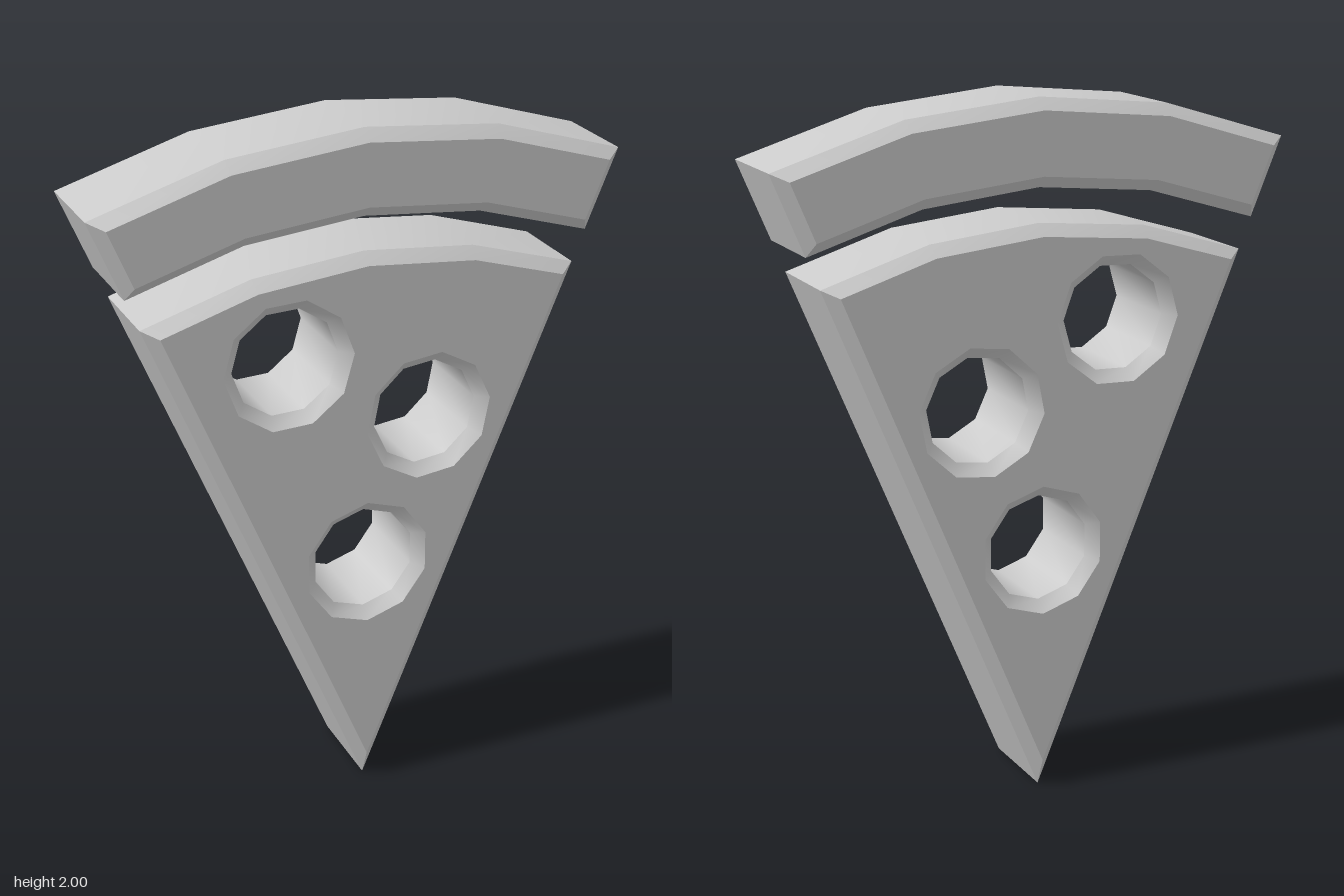
import * as THREE from 'three';
import { toCreasedNormals } from 'three/addons/utils/BufferGeometryUtils.js';

const HALF_ANGLE = Math.PI / 8;
const HALF_DEPTH = 0.165;
const BEVEL = 0.033;

// Points on a circular arc around (cx, cy)
function arc(radius, from, to, segments, cx = 0, cy = 0) {
  return Array.from({ length: segments + 1 }, (_, i) => {
    const a = from + ((to - from) * i) / segments;
    return new THREE.Vector2(cx + radius * Math.cos(a), cy + radius * Math.sin(a));
  });
}

// Shift every edge of a closed loop to its left by d, with full mitred corners
function inset(loop, d) {
  const n = loop.length;
  const normal = (a, b) => new THREE.Vector2(a.y - b.y, b.x - a.x).normalize();
  return loop.map((p, i) => {
    const n1 = normal(loop[(i + n - 1) % n], p);
    const n2 = normal(p, loop[(i + 1) % n]);
    return n1.clone().add(n2).multiplyScalar(d / (1 + n1.dot(n2))).add(p);
  });
}

// Chamfered plate: counter-clockwise outline, clockwise holes
function chamferedPlate(name, outline, holes, material) {
  const loops = [outline, ...holes];
  const insets = loops.map((loop) => inset(loop, BEVEL));
  const wall = HALF_DEPTH - BEVEL;
  const levels = [[insets, -HALF_DEPTH], [loops, -wall], [loops, wall], [insets, HALF_DEPTH]];
  const positions = [];
  const index = [];
  for (const [rings, z] of levels) {
    for (const ring of rings) for (const p of ring) positions.push(p.x, p.y, z);
  }
  const count = positions.length / 12;

  // Front and back faces
  for (const [a, b, c] of THREE.ShapeUtils.triangulateShape(insets[0], insets.slice(1))) {
    index.push(c, b, a, a + 3 * count, b + 3 * count, c + 3 * count);
  }
  // Chamfers and walls
  let start = 0;
  for (const loop of loops) {
    for (let level = 0; level < 3; level++) {
      const base = level * count + start;
      for (let i = 0; i < loop.length; i++) {
        const a = base + i;
        const b = base + ((i + 1) % loop.length);
        index.push(a, b, b + count, a, b + count, a + count);
      }
    }
    start += loop.length;
  }

  const geometry = new THREE.BufferGeometry();
  geometry.setAttribute('position', new THREE.Float32BufferAttribute(positions, 3));
  geometry.setIndex(index);
  const mesh = new THREE.Mesh(toCreasedNormals(geometry, 0.67), material);
  mesh.name = name;
  return mesh;
}

export function createModel() {
  const group = new THREE.Group();
  group.name = 'pizzaSlice';
  const material = new THREE.MeshStandardMaterial({ color: 0xcccccc });
  const right = Math.PI / 2 - HALF_ANGLE;
  const left = Math.PI / 2 + HALF_ANGLE;

  // Wedge with three ten-sided topping holes: x, y, rotation
  const holes = [
    [0, 0.73, 18],
    [-0.231, 1.375, 2.2],
    [0.186, 1.155, 7],
  ].map(([x, y, degrees]) => {
    const a = THREE.MathUtils.degToRad(degrees);
    return arc(0.155, a, a - 2 * Math.PI, 10, x, y).slice(0, 10);
  });
  const wedge = [new THREE.Vector2(0, 0), ...arc(1.66, right, left, 4)];
  group.add(chamferedPlate('slice', wedge, holes, material));

  // Separate crust band above the wedge
  const crust = [...arc(2, right, left, 4), ...arc(1.757, left, right, 4)];
  group.add(chamferedPlate('crust', crust, [], material));

  return group;
}
